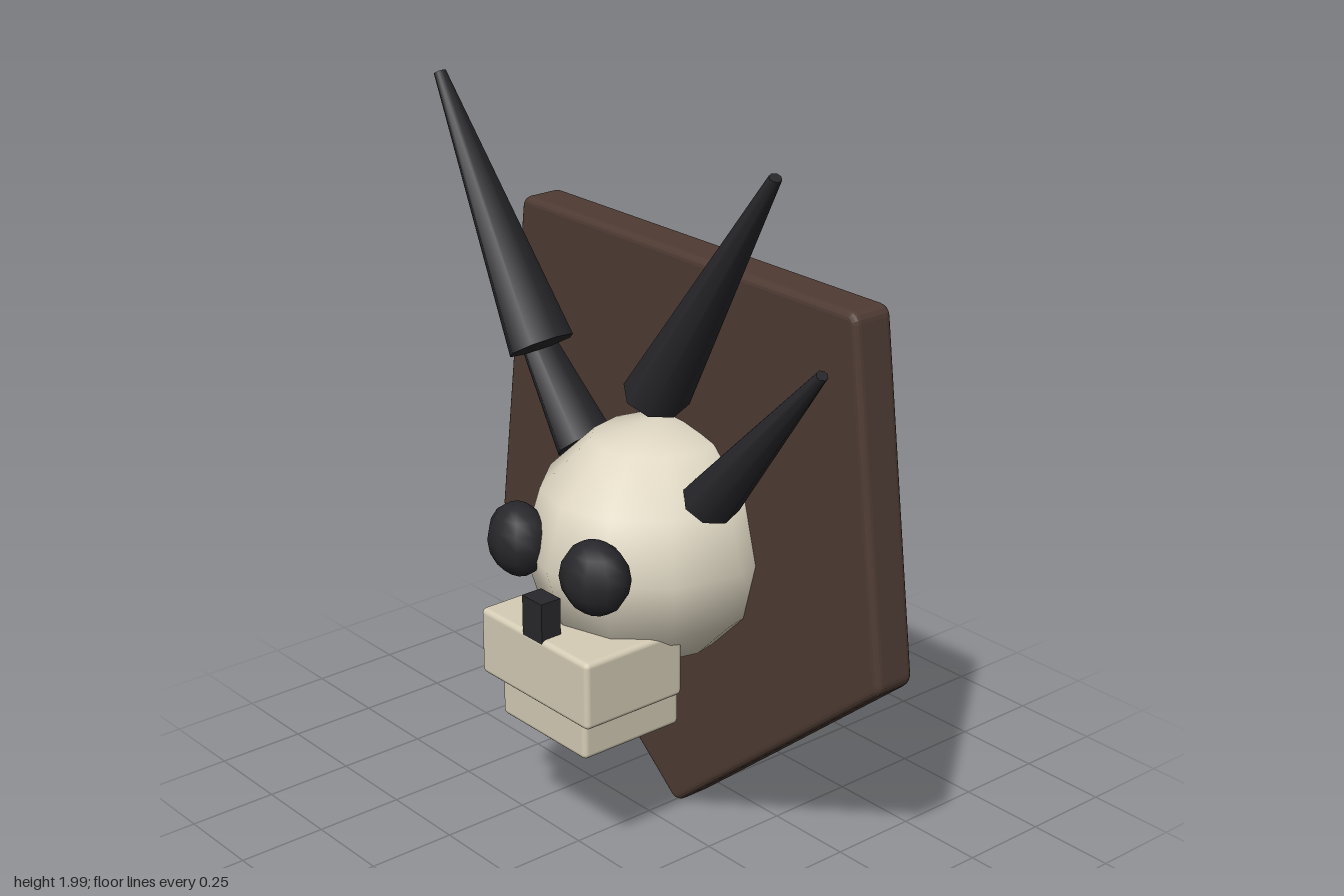
import * as THREE from 'three';
import { RoundedBoxGeometry } from 'three/addons/geometries/RoundedBoxGeometry.js';

const paint = (color) => new THREE.MeshStandardMaterial({ color });

// Closed polygon whose corners are softened by short curves
function roundedPolygon(corners, r) {
  const pts = corners.map(([x, y]) => new THREE.Vector2(x, y));
  const shape = new THREE.Shape();
  pts.forEach((p, i) => {
    const prev = pts[(i + pts.length - 1) % pts.length];
    const next = pts[(i + 1) % pts.length];
    const a = p.clone().add(prev.clone().sub(p).setLength(r));
    const b = p.clone().add(next.clone().sub(p).setLength(r));
    if (i === 0) shape.moveTo(a.x, a.y);
    else shape.lineTo(a.x, a.y);
    shape.quadraticCurveTo(p.x, p.y, b.x, b.y);
  });
  shape.closePath();
  return shape;
}

export function createModel() {
  const model = new THREE.Group();
  model.name = 'mountedHornedSkull';
  const wood = paint(0x4e3b33);
  const bone = paint(0xe0d8c4);
  const jawBone = paint(0xd6cdb6);
  const dark = paint(0x28282c);

  function add(name, geometry, material, x = 0, y = 0, z = 0) {
    const mesh = new THREE.Mesh(geometry, material);
    mesh.name = name;
    mesh.position.set(x, y, z);
    model.add(mesh);
    return mesh;
  }

  // Five-sided wooden plaque with a softened rim
  const bevel = 0.02;
  const outline = roundedPolygon(
    [[0, 0.02], [0.752, 0.647], [0.63, 1.585], [-0.63, 1.585], [-0.752, 0.647]], 0.012);
  const plaque = new THREE.ExtrudeGeometry(outline, {
    depth: 0.125 - 2 * bevel, bevelEnabled: true, bevelSize: bevel,
    bevelThickness: bevel, bevelSegments: 4, curveSegments: 4,
  });
  add('plaque', plaque, wood, 0, 0, -0.217 + bevel);

  // Cranium, passing through the plaque
  add('cranium', new THREE.SphereGeometry(1, 12, 6), bone, 0, 0.832, -0.028)
    .scale.set(0.332, 0.332, 0.372);

  // Jaws and nose
  add('upperJaw', new RoundedBoxGeometry(0.445, 0.19, 0.322, 2, 0.015), jawBone, 0, 0.573, 0.234);
  add('lowerJaw', new RoundedBoxGeometry(0.35, 0.15, 0.322, 2, 0.015), jawBone, 0, 0.438, 0.204);
  add('nose', new THREE.BoxGeometry(0.08, 0.12, 0.062), dark, 0, 0.71, 0.363);

  // Horn from base to tip, slightly flattened across its width
  function horn(name, base, tip, radius) {
    const from = new THREE.Vector3(...base);
    const dir = new THREE.Vector3(...tip).sub(from);
    const geometry = new THREE.CylinderGeometry(0.018, radius, dir.length(), 8);
    geometry.scale(0.82, 1, 1);
    const mid = from.clone().addScaledVector(dir, 0.5);
    add(name, geometry, dark, mid.x, mid.y, mid.z)
      .rotation.z = Math.atan2(-dir.x, dir.y);
  }

  // Paired eyes and horns
  for (const [side, s] of [['left', 1], ['right', -1]]) {
    const eye = add(side + 'Eye', new THREE.SphereGeometry(0.1, 10, 8), dark, s * 0.158, 0.865, 0.312);
    eye.scale.z = 0.8;
    eye.rotation.y = s * 0.2;
    horn(side + 'UpperHorn', [s * 0.23, 1.347, 0.17], [s * 0.643, 1.99, 0.17], 0.095);
    horn(side + 'LowerHorn', [s * 0.255, 1.025, 0.008], [s * 0.645, 1.475, 0.008], 0.087);
  }

  return model;
}
